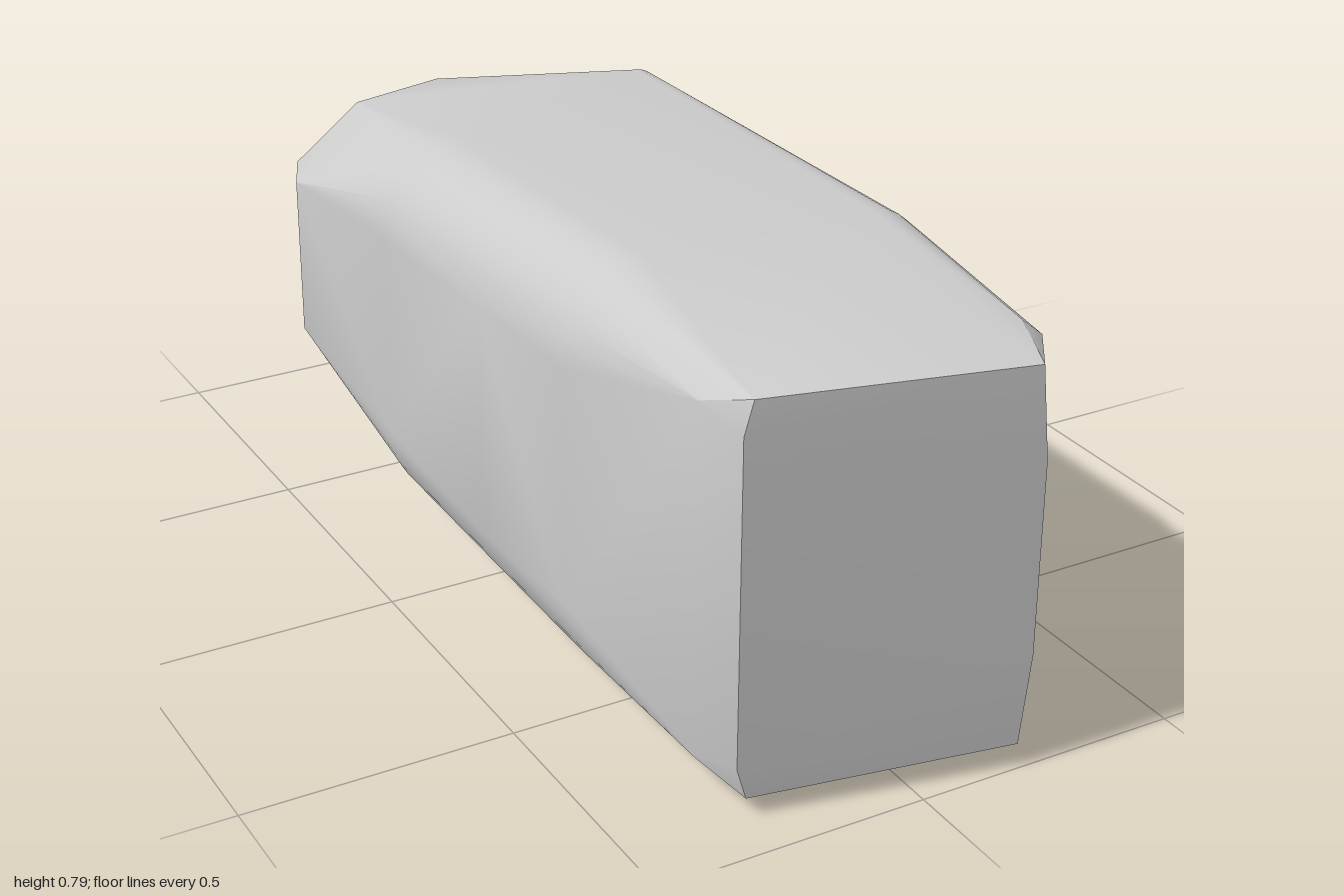
import * as THREE from 'three';
import { ConvexGeometry } from 'three/addons/geometries/ConvexGeometry.js';
import { toCreasedNormals } from 'three/addons/utils/BufferGeometryUtils.js';

const MID = 0.395; // height of the horizontal mirror plane

export function createModel() {
  const points = [];

  // a point and its mirror above / below the mid plane
  const pair = (x, h, z) => {
    points.push(new THREE.Vector3(x, MID + h, z), new THREE.Vector3(x, MID - h, z));
  };

  // quarter-ellipse corner of a cross-section, from side to top
  const corner = (cx, ch, rx, rh, z, steps = 10) => {
    for (let i = 0; i <= steps; i++) {
      const a = (i / steps) * Math.PI / 2;
      pair(cx + rx * Math.cos(a), ch + rh * Math.sin(a), z);
    }
  };

  // rounded body
  corner(0.24, 0.225, 0.125, 0.17, 0.43);
  corner(-0.2, 0.225, -0.155, 0.17, 0.41);
  corner(0.28, 0.21, 0.085, 0.152, -0.48);
  corner(-0.2, 0.2, -0.166, 0.171, -0.28);
  pair(-0.368, 0.225, 0.12);

  // slanted front end
  pair(0.19, 0.35, 0.995);
  pair(0.205, 0.18, 1);
  pair(0.245, 0.36, 0.86);
  pair(0.287, 0.325, 0.86);
  pair(-0.28, 0.36, 0.9);
  pair(-0.298, 0.3, 0.9);
  pair(-0.32, 0.325, 0.8);

  // tapered back end, rounded off towards -x
  pair(0.29, 0.12, -1);
  pair(-0.1, 0.12, -0.997);
  pair(-0.22, 0.13, -0.95);
  pair(-0.3, 0.145, -0.86);
  pair(-0.36, 0.16, -0.72);
  pair(0, 0.285, -0.82);
  pair(-0.2, 0.285, -0.77);

  const stone = new THREE.Mesh(
    toCreasedNormals(new ConvexGeometry(points), 0.45),
    new THREE.MeshStandardMaterial({ color: 0xcccccc })
  );
  stone.name = 'stone';

  const model = new THREE.Group();
  model.name = 'stoneBlock';
  model.add(stone);
  return model;
}
